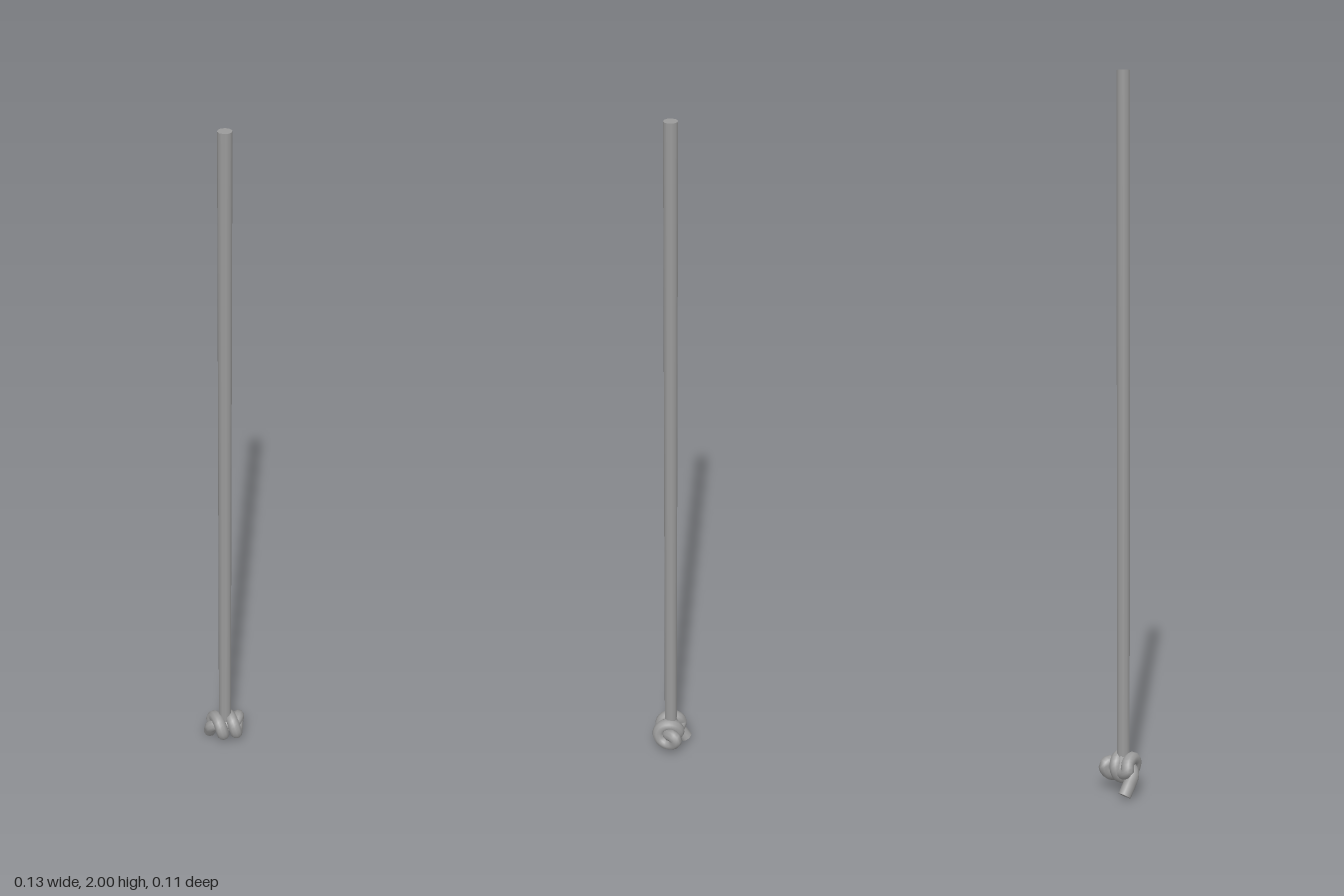
import * as THREE from 'three';

const R = 0.0185; // rope radius
const SIDES = 10;

export function createModel() {
  const group = new THREE.Group();
  group.name = 'knottedRope';
  const rope = new THREE.MeshStandardMaterial({ color: 0x9a9a9a });
  rope.name = 'ropeGrey';
  const V = (x, y, z) => new THREE.Vector3(x, y, z);

  const add = (name, geometry) => {
    const mesh = new THREE.Mesh(geometry, rope);
    mesh.name = name;
    group.add(mesh);
    return mesh;
  };

  // Flat cut end facing a direction
  const addCap = (name, position, direction) => {
    const cap = add(name, new THREE.CircleGeometry(R, SIDES));
    cap.position.copy(position);
    cap.quaternion.setFromUnitVectors(V(0, 0, 1), direction);
  };

  // Long straight length
  const straight = new THREE.CylinderGeometry(R, R, 1.9, SIDES, 1, true);
  straight.translate(0, 1.05, 0);
  add('straightRope', straight);
  addCap('topEnd', V(0, 2, 0), V(0, 1, 0));

  // Knot: lead-in, two wraps around the x axis, then back through the middle
  const points = [V(0, 0.11, 0), V(-0.012, 0.07, -0.018)];
  const cy = 0.077, cz = 0.004, coil = 0.029;
  for (let i = 0; i <= 16; i++) {
    const turn = -0.25 + i / 8;
    const a = turn * Math.PI * 2;
    points.push(V(-0.025 + 0.041 * turn, cy + coil * Math.cos(a), cz + coil * Math.sin(a)));
  }
  points.push(
    V(0.042, 0.086, -0.012),
    V(0.03, 0.08, 0.002),
    V(0, 0.078, 0.002),
    V(-0.028, 0.078, 0),
    V(-0.041, 0.066, -0.008),
    V(-0.041, 0.04, -0.024),
    V(-0.04, 0.014, -0.042)
  );
  const path = new THREE.CatmullRomCurve3(points);
  add('knot', new THREE.TubeGeometry(path, 90, R, SIDES, false));
  addCap('tailEnd', path.getPointAt(1), path.getTangentAt(1));

  return group;
}
